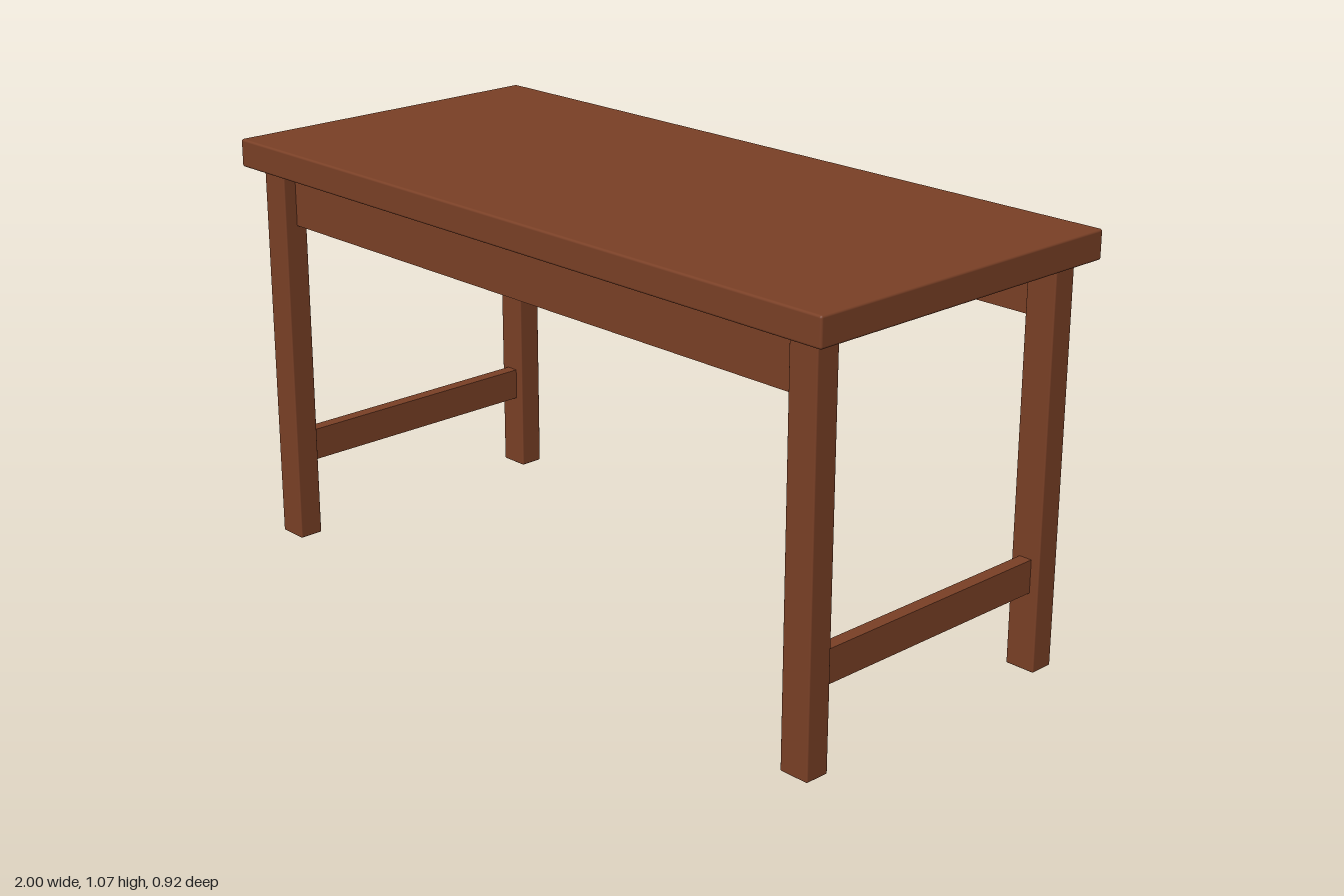
import * as THREE from 'three';
import { RoundedBoxGeometry } from 'three/addons/geometries/RoundedBoxGeometry.js';

export function createModel() {
  const table = new THREE.Group();
  table.name = 'table';

  const wood = new THREE.MeshStandardMaterial({ color: 0x7a4026 });
  wood.name = 'brown wood';

  const LEG_X = 0.917, LEG_Z = 0.387;   // leg centres
  const LEG_W = 0.08, LEG_D = 0.065;    // leg section
  const TOP_Y = 1.0;                    // underside of the tabletop

  // Slightly eased board, placed by its centre
  function board(name, w, h, d, x, y, z, ease) {
    const geometry = ease
      ? new RoundedBoxGeometry(w, h, d, 2, ease)
      : new THREE.BoxGeometry(w, h, d);
    const mesh = new THREE.Mesh(geometry, wood);
    mesh.name = name;
    mesh.position.set(x, y, z);
    table.add(mesh);
  }

  // Tabletop
  board('tabletop', 2, 0.072, 0.916, 0, TOP_Y + 0.036, 0, 0.006);

  for (const [side, sx] of [['left', 1], ['right', -1]]) {
    // Legs
    for (const [end, sz] of [['Front', 1], ['Back', -1]]) {
      board(side + end + 'Leg', LEG_W, TOP_Y, LEG_D, sx * LEG_X, TOP_Y / 2, sz * LEG_Z, 0.004);
    }
    // Low stretcher joining the front and back legs
    board(side + 'Stretcher', 0.034, 0.084, 2 * LEG_Z - LEG_D, sx * LEG_X, 0.241, 0);
  }

  // Long aprons between the legs, just clear of the tabletop
  const apronLength = 2 * LEG_X - LEG_W;
  board('frontApron', apronLength, 0.135, 0.025, 0, 0.9225, 0.372);
  board('backApron', apronLength, 0.135, 0.025, 0, 0.9225, -0.402);

  return table;
}
